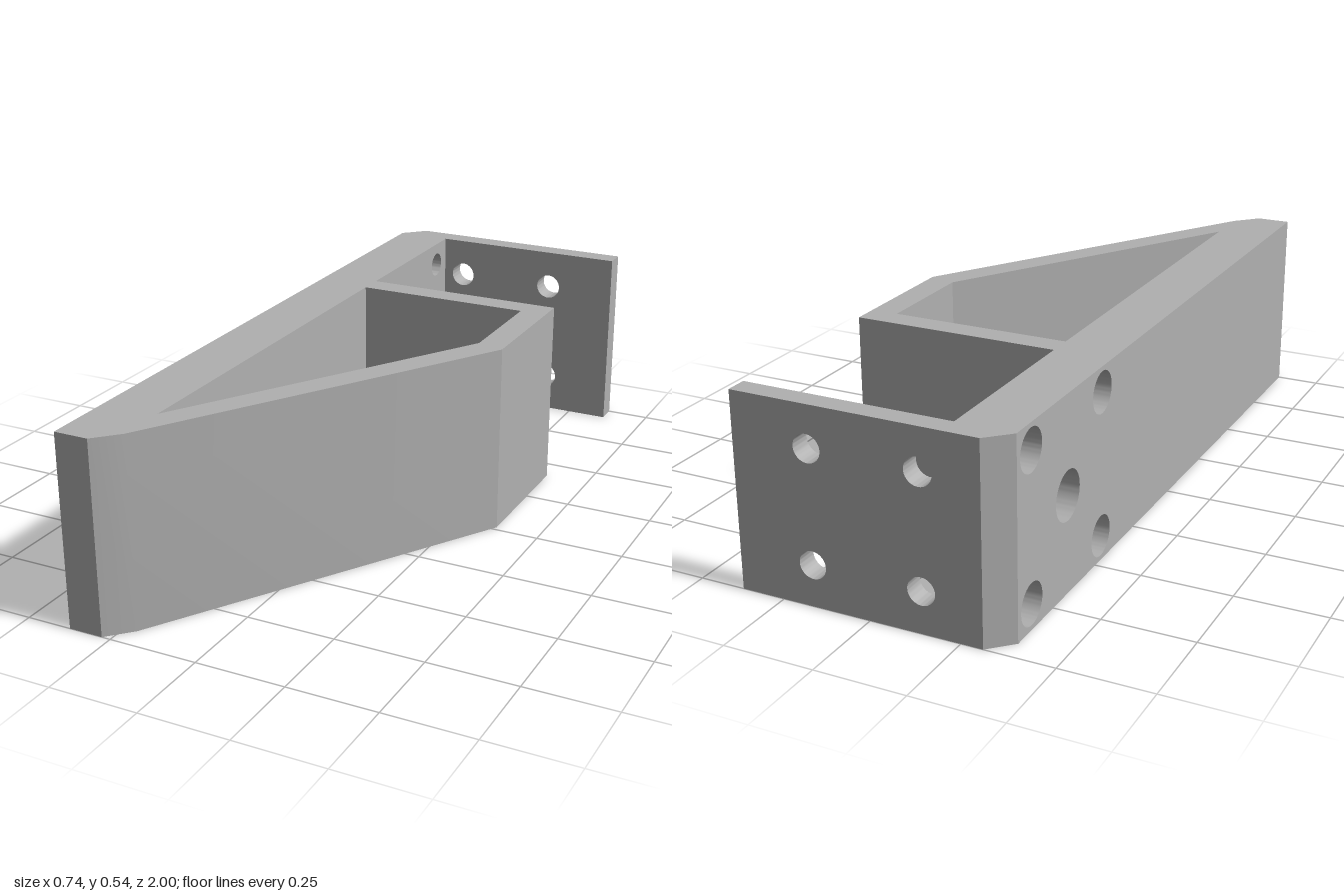
import * as THREE from 'three';
import { toCreasedNormals } from 'three/addons/utils/BufferGeometryUtils.js';

const H = 0.54;                       // bracket height
const X0 = -0.372, X1 = -0.212, X2 = 0.372; // wall outside, wall inside, far edge
const BACK = -0.94;                   // inner face of the back flange

// Closed 2D outline with optional round holes [x, y, radius]
function outline(points, holes = []) {
  const shape = new THREE.Shape(points.map(([x, y]) => new THREE.Vector2(x, y)));
  for (const [x, y, r] of holes) {
    shape.holes.push(new THREE.Path().absarc(x, y, r, 0, Math.PI * 2, true));
  }
  return shape;
}

function extrude(shape, depth) {
  return new THREE.ExtrudeGeometry(shape, { depth, bevelEnabled: false, curveSegments: 32 });
}

const rect = (a, b) => [[a, 0], [b, 0], [b, H], [a, H]];

export function createModel() {
  const group = new THREE.Group();
  const grey = new THREE.MeshStandardMaterial({ color: 0xb0b0b0 });
  grey.name = 'plain grey';

  function add(name, geometry) {
    const mesh = new THREE.Mesh(toCreasedNormals(geometry, 0.5), grey);
    mesh.name = name;
    group.add(mesh);
  }

  // Plan outline of [x, z] points, raised to full height
  const upright = (points) =>
    extrude(outline(points.map(([x, z]) => [x, -z])), H).rotateX(-Math.PI / 2);

  // Long mounting wall in two layers: wide counterbores outside, screw holes inside
  const wallLayer = (name, from, to, screwRadius) => {
    const holes = [[0.667, H / 2, 0.068]];
    for (const u of [0.467, 0.867]) {
      for (const y of [0.07, 0.47]) holes.push([u, y, screwRadius]);
    }
    const geometry = extrude(outline(rect(-0.795, -BACK), holes), to - from);
    add(name, geometry.rotateY(Math.PI / 2).translate(from, 0, 0));
  };
  wallLayer('wallOuterLayer', X0, X0 + 0.07, 0.057);
  wallLayer('wallInnerLayer', X0 + 0.07, X1, 0.037);

  // Back flange with four holes
  const flangeHoles = [];
  for (const x of [-0.146, 0.158]) {
    for (const y of [0.115, 0.425]) flangeHoles.push([x, y, 0.038]);
  }
  add('backFlange', extrude(outline(rect(X1, X2), flangeHoles), 0.06).translate(0, 0, -1));

  // Chamfered corner joining wall and flange
  add('chamferedCorner', upright([[X0, BACK], [X1, BACK], [X1, -1], [-0.31, -1]]));

  // Crosspiece, side, diagonal strut and chamfered front tip
  add('diagonalBrace', upright([
    [X1, -0.415], [X2, -0.415], [X2, -0.015], [-0.212, 0.935], [-0.275, 1],
    [X0, 1], [X0, 0.795], [X1, 0.795], [0.295, -0.035], [0.295, -0.345], [X1, -0.345],
  ]));

  return group;
}
